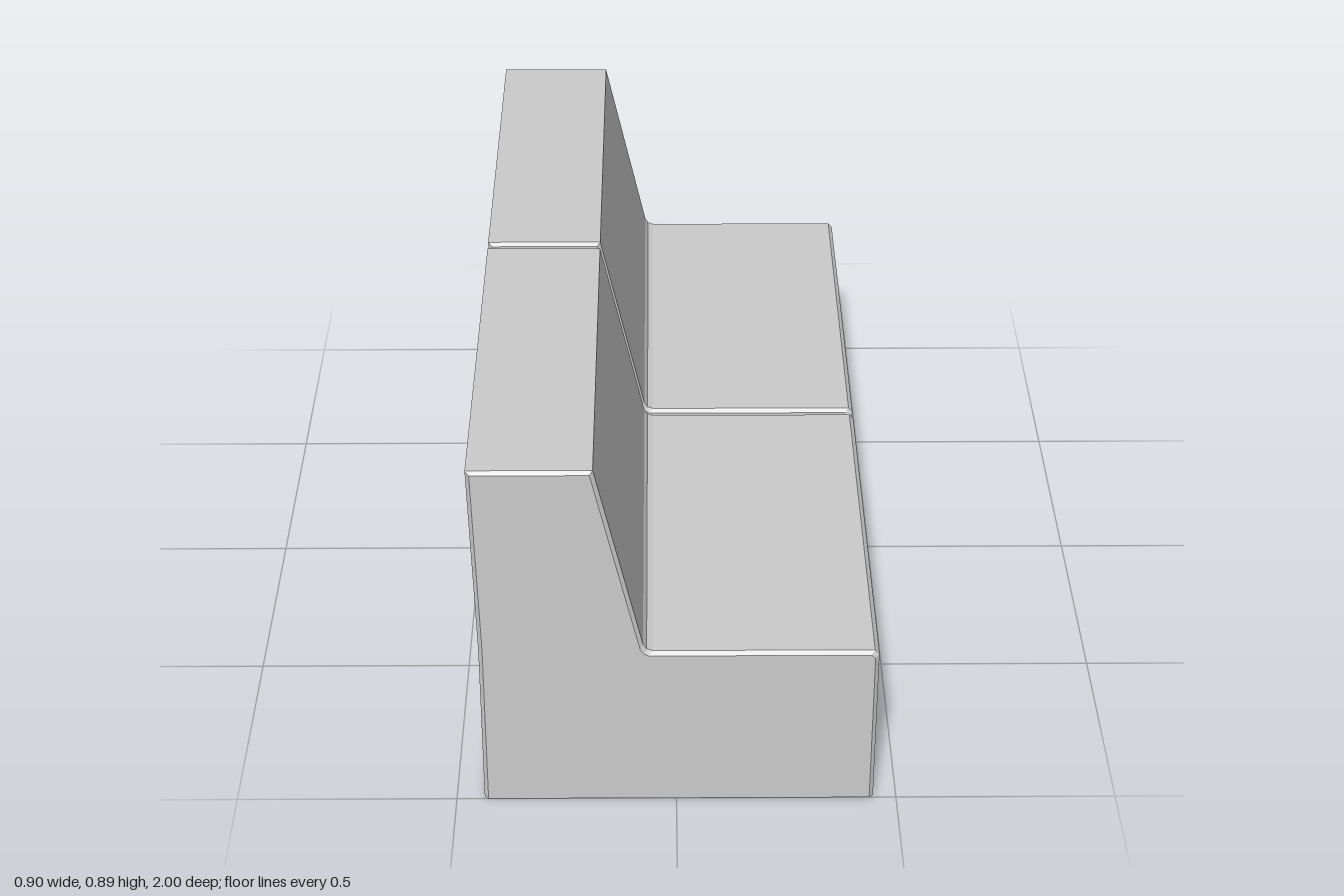
import * as THREE from 'three';

// Side profile, counter-clockwise from the seat's lower front edge; open along the floor
const OUTER = [
  [0.448, 0], [0.448, 0.402], [0.438, 0.412], [-0.052, 0.412], [-0.066, 0.417], [-0.074, 0.43],
  [-0.178, 0.887], [-0.449, 0.887], [-0.437, 0.42], [-0.437, 0],
];
// Same profile pulled in by the edge chamfer
const INNER = [
  [0.439, 0], [0.439, 0.394], [0.43, 0.403], [-0.062, 0.403], [-0.072, 0.409], [-0.08, 0.42],
  [-0.185, 0.879], [-0.44, 0.879], [-0.428, 0.42], [-0.428, 0],
];
const LENGTH = 0.992, CHAMFER = 0.008;

const material = new THREE.MeshStandardMaterial({
  color: 0xcccccc, flatShading: true, side: THREE.DoubleSide,
});

function meshFrom(name, triangles) {
  const geometry = new THREE.BufferGeometry();
  geometry.setAttribute('position', new THREE.Float32BufferAttribute(triangles.flat(2), 3));
  geometry.computeVertexNormals();
  const mesh = new THREE.Mesh(geometry, material);
  mesh.name = name;
  return mesh;
}

// Upholstered shell: chamfer, long span, chamfer
function createShell() {
  const h = LENGTH / 2;
  const rings = [[INNER, -h], [OUTER, -h + CHAMFER], [OUTER, h - CHAMFER], [INNER, h]]
    .map(([profile, z]) => profile.map(([x, y]) => [x, y, z]));
  const triangles = [];
  for (let r = 0; r < 3; r++) {
    const a = rings[r], b = rings[r + 1];
    for (let i = 0; i < a.length - 1; i++) {
      triangles.push([a[i], a[i + 1], b[i]], [a[i + 1], b[i + 1], b[i]]);
    }
  }
  return meshFrom('seatAndBackShell', triangles);
}

// Flat end panel, facing +z or -z
function createEndPanel(name, sign) {
  const contour = INNER.map(([x, y]) => new THREE.Vector2(x, y));
  const faces = THREE.ShapeUtils.triangulateShape(contour, []);
  const corner = (i) => [...INNER[i], sign * LENGTH / 2];
  return meshFrom(name, faces.map(([a, b, c]) => (sign > 0 ? [a, b, c] : [a, c, b]).map(corner)));
}

export function createModel() {
  const sofa = new THREE.Group();
  sofa.name = 'modularSofa';
  // Two identical units side by side with a narrow gap
  for (const sign of [1, -1]) {
    const unit = new THREE.Group();
    unit.name = sign > 0 ? 'frontSeatUnit' : 'rearSeatUnit';
    unit.add(createShell(), createEndPanel('frontEndPanel', 1), createEndPanel('rearEndPanel', -1));
    unit.position.z = sign * (1 - LENGTH / 2);
    sofa.add(unit);
  }
  return sofa;
}
